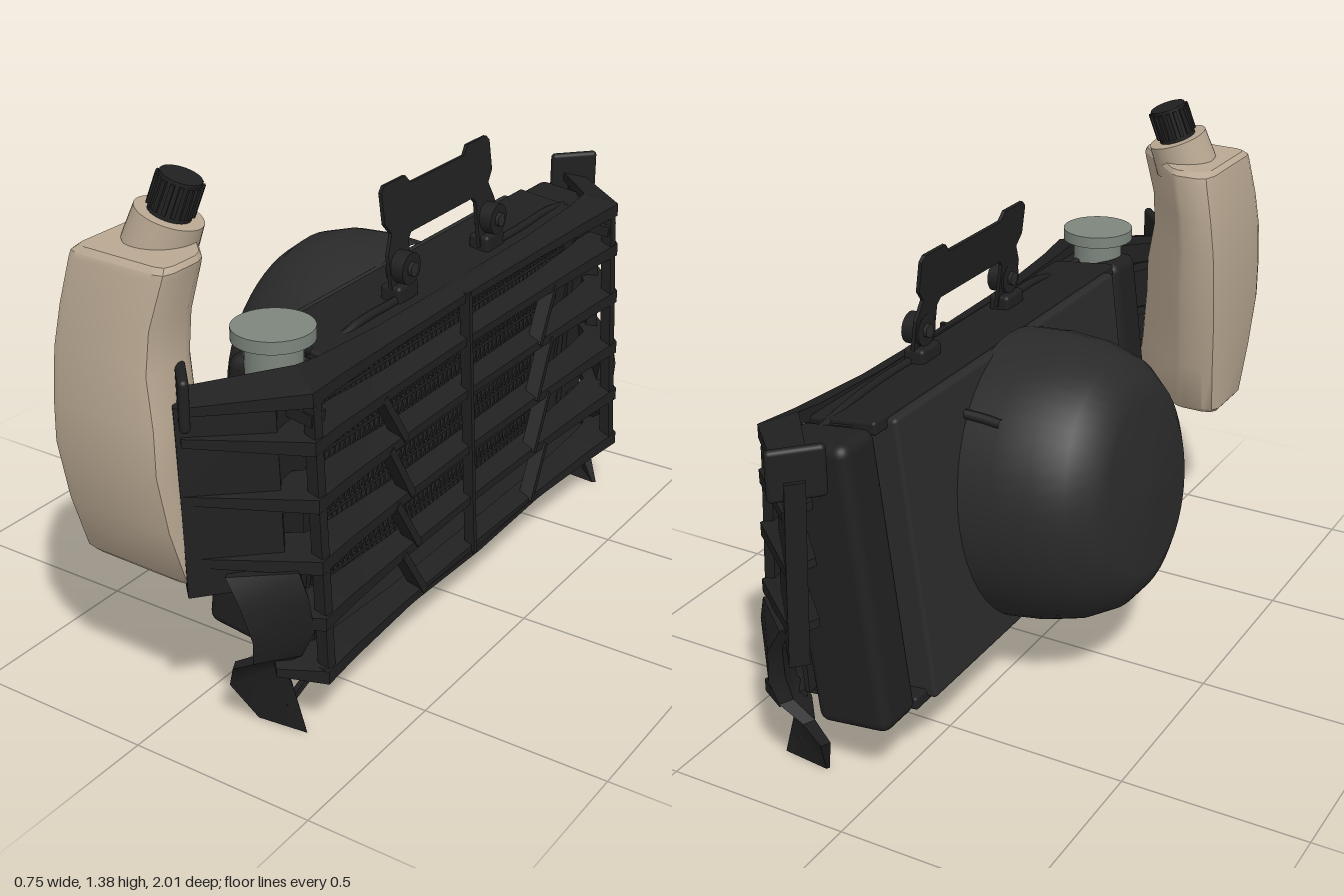
import * as THREE from 'three';
import { toCreasedNormals } from 'three/addons/utils/BufferGeometryUtils.js';
import { RoundedBoxGeometry } from 'three/addons/geometries/RoundedBoxGeometry.js';

const mat = (color, side = THREE.FrontSide) => new THREE.MeshStandardMaterial({ color, side });
const black = mat(0x202020), dark = mat(0x2a2a2a), beige = mat(0xb9a892), metal = mat(0x7d857d);
const thin = mat(0x202020, THREE.DoubleSide);

function add(parent, name, geo, material, x = 0, y = 0, z = 0) {
  const m = new THREE.Mesh(geo, material);
  m.name = name;
  m.position.set(x, y, z);
  parent.add(m);
  return m;
}

// Closed solid through a list of equal-length cross-section loops
function loft(loops, crease = 0.5) {
  const n = loops[0].length, pos = loops.flat(2), idx = [];
  for (let i = 0; i < loops.length - 1; i++)
    for (let j = 0; j < n; j++) {
      const a = i * n + j, b = i * n + (j + 1) % n;
      idx.push(a, b, a + n, b, b + n, a + n);
    }
  const e = (loops.length - 1) * n;
  for (let j = 1; j < n - 1; j++) idx.push(0, j + 1, j, e, e + j, e + j + 1);
  // Turn the faces outward if the enclosed volume is negative
  const p = i => new THREE.Vector3().fromArray(pos, i * 3);
  let vol = 0;
  for (let i = 0; i < idx.length; i += 3) vol += p(idx[i]).dot(p(idx[i + 1]).cross(p(idx[i + 2])));
  if (vol < 0) idx.reverse();
  const g = new THREE.BufferGeometry();
  g.setAttribute('position', new THREE.Float32BufferAttribute(pos, 3));
  g.setIndex(idx);
  return toCreasedNormals(g, crease);
}

// Straight bar between two points, aimed before it joins its parent
function bar(parent, name, a, b, w, d) {
  const A = new THREE.Vector3(...a), B = new THREE.Vector3(...b);
  const m = new THREE.Mesh(new THREE.BoxGeometry(w, d, A.distanceTo(B)), black);
  m.name = name;
  m.position.copy(A).add(B).multiplyScalar(0.5);
  m.lookAt(B);
  parent.add(m);
}

const tube = (pts, r) => new THREE.TubeGeometry(
  new THREE.CatmullRomCurve3(pts.map(p => new THREE.Vector3(...p))), 32, r, 8);

// Folded cooling fin strip running along z
function finStrip(z0, z1, u0, u1, h) {
  const pos = [], idx = [], n = Math.round((z1 - z0) / 0.011);
  for (let i = 0; i <= n; i++) {
    const z = z0 + (z1 - z0) * i / n, y = (i % 2 - 0.5) * h;
    pos.push(u0, y, z, u1, y, z);
    if (i < n) idx.push(2 * i, 2 * i + 1, 2 * i + 2, 2 * i + 1, 2 * i + 3, 2 * i + 2);
  }
  const g = new THREE.BufferGeometry();
  g.setAttribute('position', new THREE.Float32BufferAttribute(pos, 3));
  g.setIndex(idx);
  return toCreasedNormals(g, 0.3);
}

function buildRadiator() {
  const g = new THREE.Group();
  g.name = 'radiator';
  g.position.set(0.12, 0.54, -0.07);
  g.rotation.z = -0.12;

  // Finned core
  const rows = 14, step = 0.72 / rows, fin = finStrip(-0.63, 0.63, 0, 0.07, step - 0.012);
  for (let i = 0; i <= rows; i++) {
    const v = -0.36 + i * step;
    add(g, 'coreTube', new THREE.BoxGeometry(0.07, 0.012, 1.26), black, 0.035, v);
    if (i < rows) add(g, 'coolingFin', fin, thin, 0, v + step / 2);
  }
  // Top and bottom plates, end tanks
  for (const s of [-1, 1]) {
    add(g, 'corePlate', new RoundedBoxGeometry(0.2, 0.035, 1.24, 2, 0.008), black, 0, s * 0.37);
    add(g, 'endTank', new RoundedBoxGeometry(0.21, 0.76, 0.14, 3, 0.03), black, 0, 0, s * 0.69);
    add(g, 'tankFlange', new THREE.BoxGeometry(0.13, 0.75, 0.02), black, 0.03, 0, s * 0.62);
    for (let i = 0; i < 22; i++)
      add(g, 'crimpTab', new THREE.BoxGeometry(0.025, 0.015, 0.03), black, -0.03, -0.35 + i * 0.0333, s * 0.612);
  }
  // Fan shroud and domed fan housing
  add(g, 'shroud', new RoundedBoxGeometry(0.115, 0.755, 1.14, 2, 0.012), dark, -0.068);
  const profile = [[0, 0.488], [0.235, 0.475], [0.285, 0.45], [0.335, 0.4], [0.37, 0.32], [0.388, 0.22], [0.393, 0.11]];
  const dome = new THREE.LatheGeometry(profile.map(p => new THREE.Vector2(...p)).reverse(), 48);
  const fan = add(g, 'fanHousing', dome, dark);
  fan.rotation.z = Math.PI / 2;
  fan.scale.z = 0.94;
  return g;
}

// Rectangular section whose depth runs inward along (dx, dz)
function slatSection([x, y, z], h, d, rise, dz) {
  return [[x, y - h / 2, z], [x, y + h / 2, z], [x - d, y + rise + h / 2, z - dz], [x - d, y + rise - h / 2, z - dz]];
}

function buildGuard() {
  const g = new THREE.Group();
  g.name = 'guard';
  g.position.z = -0.03;
  const front = y => 0.37 - (y - 0.17) * 0.05;   // outer face leans back with height
  const ys = [0.885, 0.765, 0.62, 0.46, 0.31, 0.165];

  ys.forEach((y, i) => {
    const X = front(y), low = i > 3, zEnd = low ? 0.83 : 0.96, xEnd = low ? 0.27 : 0.12;
    const lift = low ? 0.03 : i ? 0.05 : 0.005;
    const half = [
      [0, X - 0.035, 0, 0.022, 0.05, 0.02], [0.36, X - 0.03, 0, 0.024, 0.055, 0.02],
      [0.62, X - 0.015, 0.005, 0.032, 0.07, 0.025], [0.755, X, 0.01, 0.036, 0.085, 0.03],
      [zEnd, xEnd, lift, 0.022, 0.05, 0.02]];
    const sec = ([z, x, dy, h, d, rise], s) => slatSection([x, y + dy, s * z], h, d, rise, s * (z > 0.7 ? 0.05 : 0));
    const loops = [...half.slice(1).reverse().map(p => sec(p, -1)), ...half.map(p => sec(p, 1))];
    add(g, 'guardSlat', loft(loops, 0.35), black);
    // Diagonal struts down to the next slat
    if (i > 0 && i < 5) for (const s of [-1, 1])
      bar(g, 'diagonalStrut', [X - 0.045, y, s * (0.45 - 0.02 * i)],
        [front(ys[i + 1]) - 0.045, ys[i + 1], s * (0.36 - 0.02 * i)], 0.04, 0.02);
  });
  bar(g, 'centrePost', [0.33, 0.15, 0.03], [0.295, 0.9, 0.03], 0.014, 0.03);
  // Deep lower lip
  add(g, 'lowerLip', loft([[-0.76, 0.19], [-0.45, 0.165], [0, 0.15], [0.45, 0.165], [0.76, 0.19]].map(([z, y]) =>
    slatSection([Math.abs(z) > 0.7 ? 0.36 : 0.34, y, z], 0.014, 0.16, 0.02, 0))), black);

  for (const s of [1, -1]) {
    const side = new THREE.Group();
    side.name = 'guardSide';
    side.scale.z = s;
    g.add(side);
    bar(side, 'cornerPost', [0.35, 0.17, 0.735], [0.315, 0.9, 0.735], 0.03, 0.03);
    // Slanted end panel
    add(side, 'endPanel', loft([[0.42, 0.01], [0.68, 0], [0.9, -0.01]].map(([y, o]) =>
      [[0.265 + o, y, 0.79], [0.115 + o, y, 0.965], [0.08 + o, y, 0.93], [0.245 + o, y, 0.76]])), black);
    const ear = add(side, 'mountingEar', new RoundedBoxGeometry(0.025, 0.13, 0.14, 4, 0.012), black, 0.1, 0.915, 0.925);
    ear.rotation.y = 0.75;
    // Mounting plate closing the gap beside the end tank
    bar(side, 'sidePlate', [0.215, 0.22, 0.725], [0.25, 0.88, 0.725], 0.12, 0.014);
    // Brackets from guard back to the end tank
    for (const y of [0.86, 0.3]) bar(side, 'guardBracket', [0.17, y, 0.72], [0.33, y - 0.02, 0.73], 0.05, 0.03);
    // Hooked lower horn: y, rear edge x z, front edge x z, thickness
    const horn = [[0.47, 0.19, 0.91, 0.32, 0.8, 0.03], [0.4, 0.23, 0.91, 0.34, 0.79, 0.035], [0.3, 0.25, 0.89, 0.34, 0.77, 0.04],
      [0.23, 0.235, 0.875, 0.31, 0.78, 0.035], [0.19, 0.17, 0.87, 0.255, 0.785, 0.03], [0.12, 0.14, 0.845, 0.275, 0.77, 0.025],
      [0, 0.175, 0.78, 0.31, 0.765, 0.008]];
    add(side, 'lowerHorn', loft(horn.map(([y, xa, za, xb, zb, t]) =>
      [[xa, y, za], [xb, y, zb], [xb - t, y, zb - t], [xa - t / 2, y, za - t]]), 0.6), black);
    bar(side, 'hornBrace', [0.3, 0.17, 0.68], [0.25, 0.06, 0.765], 0.02, 0.012);
  }
  return g;
}

function buildTopBracket() {
  const g = new THREE.Group();
  g.name = 'topBracket';
  g.position.set(0.205, 0.93, -0.06);
  g.rotation.set(0, -Math.PI / 2, 0);
  // Bridge plate outline, drawn along z and y
  const s = new THREE.Shape();
  [[-0.26, 0], [-0.26, 0.11], [-0.235, 0.16], [-0.26, 0.19], [-0.26, 0.27], [-0.245, 0.285], [-0.15, 0.285], [-0.13, 0.262],
    [0.13, 0.262], [0.15, 0.285], [0.245, 0.285], [0.26, 0.27], [0.26, 0.19], [0.235, 0.16], [0.26, 0.11], [0.26, 0],
    [0.165, 0], [0.165, 0.125], [0.15, 0.14], [-0.15, 0.14], [-0.165, 0.125], [-0.165, 0]]
    .forEach(([x, y], i) => (i ? s.lineTo(x, y) : s.moveTo(x, y)));
  const plate = add(g, 'bridgePlate', new THREE.ExtrudeGeometry(s, { depth: 0.01, bevelEnabled: false }), black);
  plate.rotation.x = 0.13;
  for (const k of [-1, 1]) {
    const grommet = add(g, 'grommet', new THREE.CylinderGeometry(0.042, 0.042, 0.05, 20), black, k * 0.215, 0.07, 0);
    grommet.rotation.x = Math.PI / 2;
    const bolt = add(g, 'bolt', new THREE.CylinderGeometry(0.02, 0.02, 0.07, 6), dark, k * 0.215, 0.07, 0);
    bolt.rotation.x = Math.PI / 2;
    add(g, 'mountFoot', new RoundedBoxGeometry(0.09, 0.05, 0.06, 2, 0.01), black, k * 0.215, 0.005, 0.01);
  }
  return g;
}

function buildReservoir() {
  const g = new THREE.Group();
  g.name = 'reservoir';
  // Height, rear x, front x, inner z, outer z
  const levels = [[0.44, -0.185, 0.115, 0.735, 0.915], [0.455, -0.197, 0.125, 0.72, 0.93], [0.6, -0.207, 0.117, 0.685, 0.975],
    [0.75, -0.217, 0.108, 0.655, 1.0], [0.86, -0.22, 0.102, 0.635, 0.995], [0.98, -0.22, 0.075, 0.62, 0.98],
    [1.08, -0.212, 0.072, 0.61, 0.96], [1.19, -0.195, 0.095, 0.61, 0.937], [1.205, -0.192, 0.097, 0.613, 0.932], [1.217, -0.178, 0.088, 0.63, 0.917]];
  // Plan outline as fractions of width and depth
  const plan = [[0, 0.15], [0.04, 0.04], [0.13, 0], [0.33, 0], [0.4, 0.03], [0.96, 0.55], [1, 0.64], [1, 0.9],
    [0.97, 0.98], [0.88, 1], [0.1, 0.97], [0.02, 0.94], [0, 0.88]];
  add(g, 'reservoirBody', loft(levels.map(([y, x0, x1, z0, z1]) =>
    plan.map(([a, b]) => [x0 + a * (x1 - x0), y, z0 + b * (z1 - z0)])), 0.6), beige);
  // Tilted filler neck and ribbed cap
  const filler = new THREE.Group();
  filler.name = 'filler';
  filler.position.set(-0.055, 1.2, 0.765);
  filler.rotation.set(-0.16, 0, -0.3);
  g.add(filler);
  add(filler, 'fillerNeck', new THREE.CylinderGeometry(0.083, 0.088, 0.085, 32), beige, 0, 0.035);
  add(filler, 'neckRing', new THREE.CylinderGeometry(0.052, 0.052, 0.03, 24), black, 0, 0.09);
  add(filler, 'cap', new THREE.CylinderGeometry(0.05, 0.054, 0.085, 24), black, 0, 0.13);
  for (let i = 0; i < 16; i++) {
    const a = i * Math.PI / 8;
    add(filler, 'capRib', new THREE.BoxGeometry(0.01, 0.075, 0.01), black, 0.053 * Math.cos(a), 0.127, 0.053 * Math.sin(a)).rotation.y = -a;
  }
  return g;
}

export function createModel() {
  const model = new THREE.Group();
  model.name = 'radiatorAssembly';
  model.add(buildRadiator(), buildGuard(), buildTopBracket(), buildReservoir());
  // Pressure cap on its neck
  add(model, 'pressureNeck', new THREE.CylinderGeometry(0.07, 0.07, 0.1, 28), metal, 0.16, 0.93, 0.635);
  add(model, 'pressureCap', new THREE.CylinderGeometry(0.1, 0.1, 0.032, 36), metal, 0.16, 0.99, 0.635);
  // Lower outlet
  add(model, 'outletCollar', new THREE.CylinderGeometry(0.042, 0.042, 0.06, 16), black, 0.055, 0.155, 0.3);
  add(model, 'outletPipe', new THREE.CylinderGeometry(0.02, 0.02, 0.12, 16), black, 0.045, 0.105, 0.3);
  // Overflow hose and fan lead
  add(model, 'overflowHose', tube([[0.19, 0.92, 0.56], [0.2, 0.9, 0.48], [0.21, 0.925, 0.36], [0.21, 0.925, 0.2]], 0.011), black);
  add(model, 'topHose', tube([[0.2, 0.9, -0.74], [0.2, 0.92, -0.62], [0.21, 0.925, -0.45], [0.21, 0.925, -0.3]], 0.011), black);
  add(model, 'fanLead', tube([[-0.07, 0.82, -0.34], [-0.02, 0.825, -0.34], [0.06, 0.83, -0.345]], 0.013), black);
  return model;
}
